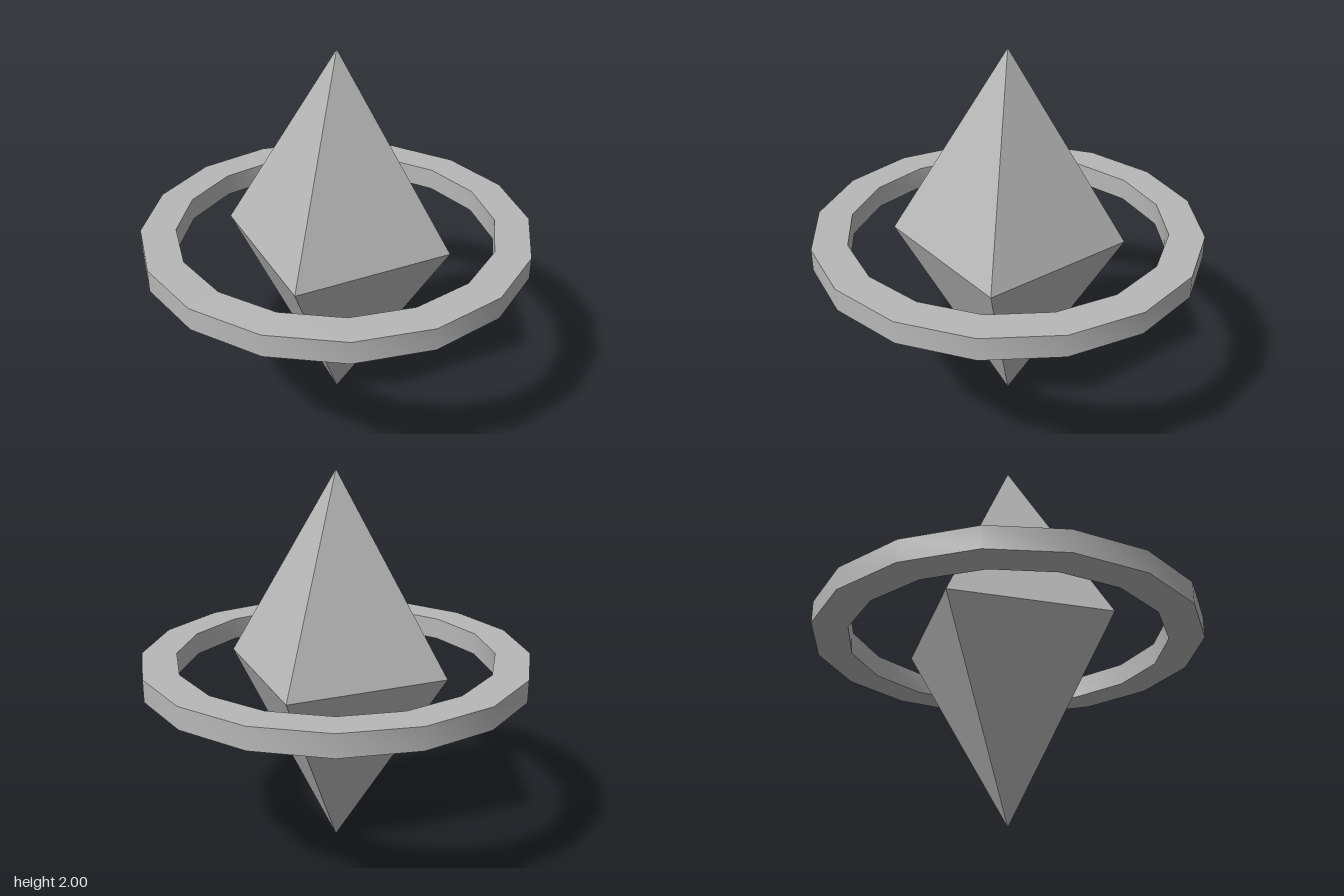
import * as THREE from 'three';
import { toCreasedNormals } from 'three/addons/utils/BufferGeometryUtils.js';

export function createModel() {
  const group = new THREE.Group();
  const grey = new THREE.MeshStandardMaterial({ color: 0xb8b8b8 });
  grey.name = 'grey';

  // Tall four-sided double pyramid
  const crystalGeometry = new THREE.OctahedronGeometry(1, 0).scale(0.6, 1, 0.6);
  const crystal = new THREE.Mesh(crystalGeometry, grey);
  crystal.name = 'crystal';
  crystal.position.y = 1;

  // Flat sixteen-sided ring, smooth around the walls with sharp rims
  const outer = 1, inner = 0.82, half = 0.058;
  const section = [
    [outer, -half], [outer, half], [inner, half], [inner, -half], [outer, -half],
  ].map(([r, y]) => new THREE.Vector2(r, y));
  const ringGeometry = toCreasedNormals(new THREE.LatheGeometry(section, 16), Math.PI / 5);
  const ring = new THREE.Mesh(ringGeometry, grey);
  ring.name = 'ring';
  ring.position.y = 1;

  group.add(crystal, ring);
  return group;
}
